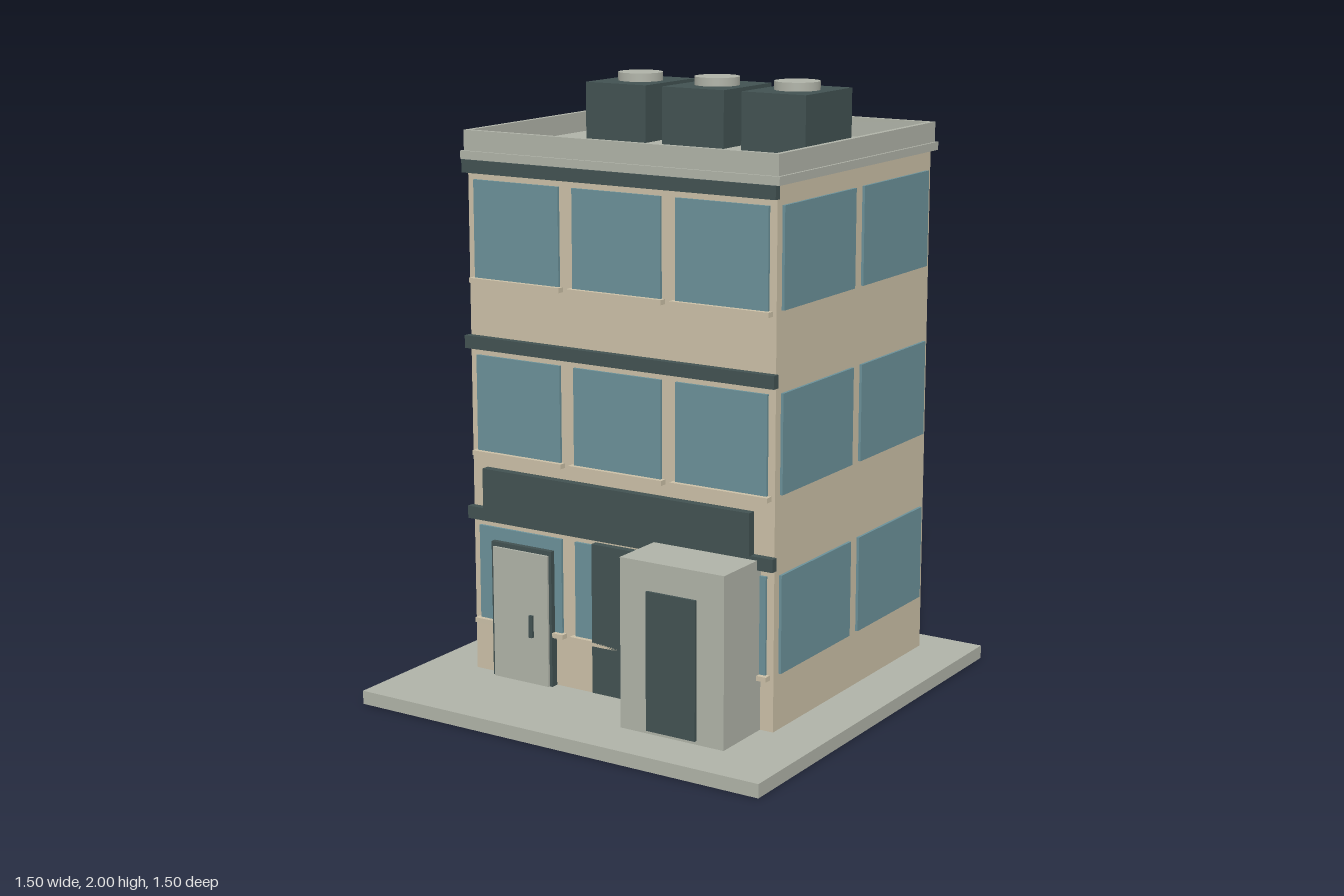
import * as THREE from 'three';

export function createModel() {
  const model = new THREE.Group();
  model.name = 'building';

  const material = (name, color) => {
    const m = new THREE.MeshStandardMaterial({ color });
    m.name = name;
    return m;
  };
  const plaster = material('beige plaster', 0xcbc0a7);
  const concrete = material('grey concrete', 0xb0b3a8);
  const slate = material('dark slate', 0x425252);
  const glass = material('blue glass', 0x6b9199);

  // Box given by its limits on each axis
  const box = (name, mat, [x0, x1], [y0, y1], [z0, z1]) => {
    const mesh = new THREE.Mesh(new THREE.BoxGeometry(x1 - x0, y1 - y0, z1 - z0), mat);
    mesh.position.set((x0 + x1) / 2, (y0 + y1) / 2, (z0 + z1) / 2);
    mesh.name = name;
    model.add(mesh);
    return mesh;
  };

  const wallX = [-0.577, 0.571];
  const wallZ = [-0.636, 0.361];
  const storey = 0.573;

  // Pavement slab
  box('pavement', concrete, [-0.75, 0.75], [0, 0.045], [-0.75, 0.75]);

  // Three equal storeys with windows, sills and a front band
  for (let i = 0; i < 3; i++) {
    const y = 0.045 + i * storey;
    box('storeyWalls', plaster, wallX, [y, y + storey], wallZ);
    box('frontBand', slate, [-0.585, 0.579], [y + 0.524, y + 0.566], [0.361, 0.386]);

    const windowY = [y + 0.184, y + 0.502];
    for (const x of [-0.386, -0.003, 0.381]) {
      box('frontWindow', glass, [x - 0.165, x + 0.165], windowY, [0.361, 0.37]);
      box('windowSill', plaster, [x - 0.177, x + 0.177], [y + 0.168, y + 0.184], [0.361, 0.386]);
    }
    for (const z of [0.109, -0.389]) {
      box('sideWindow', glass, [0.571, 0.58], windowY, [z - 0.222, z + 0.222]);
    }
  }

  // Roof ledge and parapet
  box('roofLedge', concrete, [-0.594, 0.588], [1.757, 1.784], [-0.657, 0.379]);
  const px = [-0.586, 0.58], pz = [-0.648, 0.37], py = [1.784, 1.85], t = 0.018;
  box('parapetFront', concrete, px, py, [pz[1] - t, pz[1]]);
  box('parapetBack', concrete, px, py, [pz[0], pz[0] + t]);
  box('parapetLeft', concrete, [px[1] - t, px[1]], py, [pz[0] + t, pz[1] - t]);
  box('parapetRight', concrete, [px[0], px[0] + t], py, [pz[0] + t, pz[1] - t]);

  // Rooftop units with round caps
  for (const x of [-0.322, -0.022, 0.28]) {
    box('roofUnit', slate, [x - 0.118, x + 0.118], [1.784, 1.972], [-0.409, -0.107]);
    const cap = new THREE.Mesh(new THREE.CylinderGeometry(0.075, 0.075, 0.028, 32), concrete);
    cap.position.set(x, 1.986, -0.258);
    cap.name = 'roofUnitCap';
    model.add(cap);
  }

  // Blank sign board above the ground floor
  box('signBoard', slate, [-0.51, 0.505], [0.614, 0.751], [0.374, 0.403]);

  // Entrance door
  box('doorFrame', slate, [-0.489, -0.25], [0.045, 0.505], [0.361, 0.388]);
  box('door', concrete, [-0.478, -0.26], [0.045, 0.49], [0.388, 0.396]);
  box('doorHandle', slate, [-0.331, -0.317], [0.205, 0.28], [0.396, 0.406]);

  // Dark shutter beside the porch
  box('shutter', slate, [-0.092, 0.2], [0.055, 0.556], [0.361, 0.386]);

  // Projecting porch with its own door
  box('porch', concrete, [0.147, 0.524], [0.045, 0.6], [0.361, 0.578]);
  box('porchDoor', slate, [0.247, 0.426], [0.057, 0.508], [0.578, 0.587]);

  return model;
}
